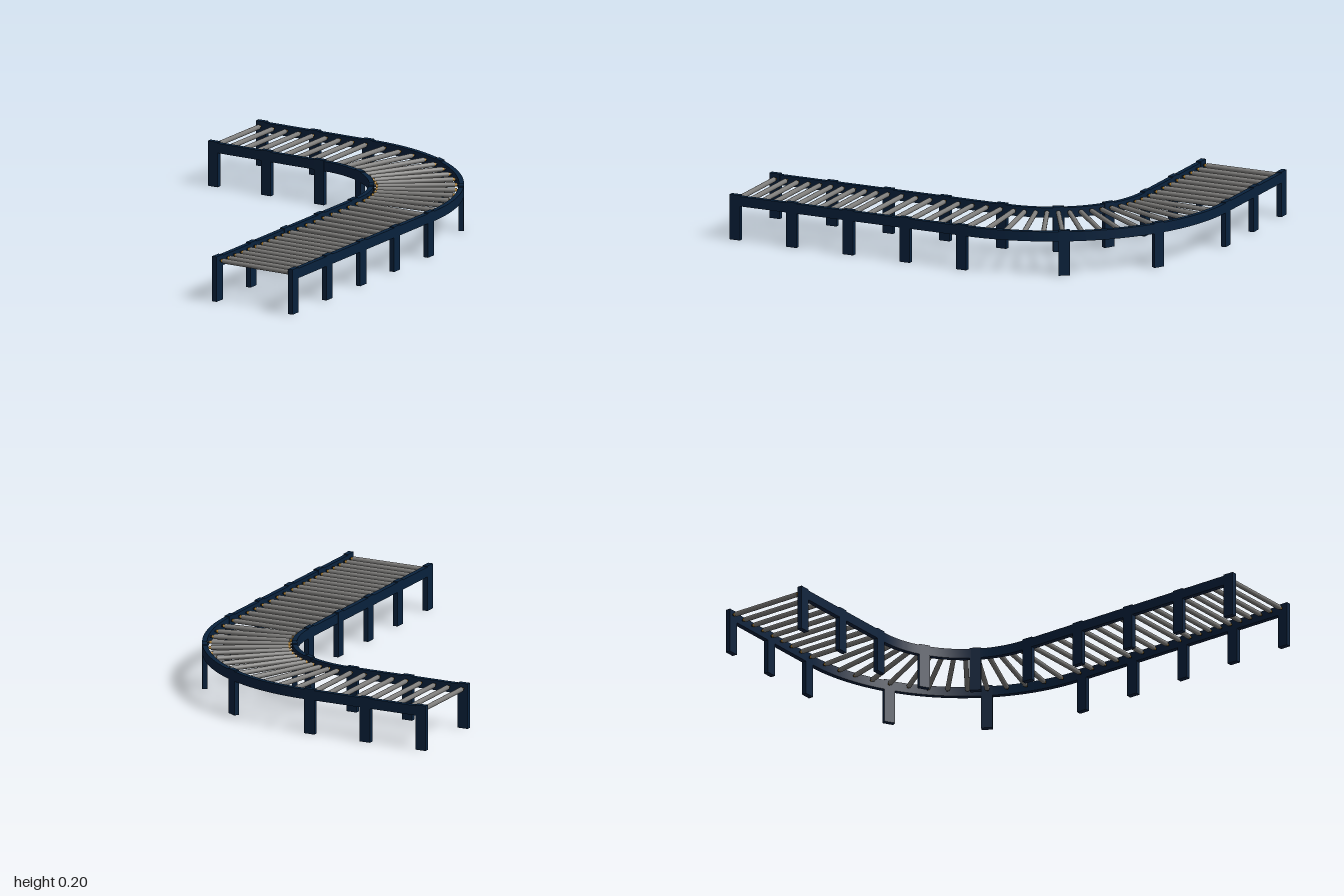
import * as THREE from 'three';
import { toCreasedNormals } from 'three/addons/utils/BufferGeometryUtils.js';

const CX = -0.125, CZ = -0.153;       // centre of the bend
const X_END = -0.722, Z_END = 1;      // open ends of the two straights
const RAIL_TOP = 0.199, RAIL_H = 0.044, RAIL_T = 0.022;
const ROLLER_Y = 0.181;
const R_IN = 0.443, R_OUT = 0.836;    // rail centre radii

export function createModel() {
  const mat = (name, color) => {
    const m = new THREE.MeshStandardMaterial({ color });
    m.name = name;
    return m;
  };
  const navy = mat('navy frame', 0x08213c);
  const steel = mat('roller grey', 0x7e7d7b);
  const dark = mat('dark axle', 0x1c1c1e);
  const brass = mat('brass bearing', 0xb5832a);

  const model = new THREE.Group();
  model.name = 'rollerConveyor';
  const add = (parent, name, geometry, material) => {
    const mesh = new THREE.Mesh(geometry, material);
    mesh.name = name;
    parent.add(mesh);
    return mesh;
  };

  // Side rails: straight, quarter bend, straight, drawn in plan and extruded down
  const rail = (name, radius) => {
    const a = radius - RAIL_T / 2, b = radius + RAIL_T / 2;
    const s = new THREE.Shape();
    s.moveTo(CX + b, Z_END);
    s.lineTo(CX + b, CZ);
    s.absarc(CX, CZ, b, 0, -Math.PI / 2, true);
    s.lineTo(X_END, CZ - b);
    s.lineTo(X_END, CZ - a);
    s.lineTo(CX, CZ - a);
    s.absarc(CX, CZ, a, -Math.PI / 2, 0, false);
    s.lineTo(CX + a, Z_END);
    s.closePath();
    const g = new THREE.ExtrudeGeometry(s, { depth: RAIL_H, bevelEnabled: false, curveSegments: 28 });
    g.rotateX(Math.PI / 2);
    g.translate(0, RAIL_TOP, 0);
    add(model, name, toCreasedNormals(g, 0.5), navy);
  };
  rail('innerRail', R_IN);
  rail('outerRail', R_OUT);

  // Legs: flat uprights as thick as the rails, reaching just above them
  const legGeo = new THREE.BoxGeometry(RAIL_T + 0.001, 0.204, 0.05);
  const leg = (x, z, angle) => {
    const m = add(model, 'leg', legGeo, navy);
    m.position.set(x, 0.102, z);
    m.rotation.y = angle;
  };
  for (const r of [R_IN, R_OUT]) {
    for (let i = 0; i < 5; i++) leg(CX + r, 0.975 - i * 0.276, 0);
    for (let i = 0; i < 3; i++) leg(X_END + 0.025 + i * 0.275, CZ - r, Math.PI / 2);
    for (const t of [Math.PI / 6, Math.PI / 3]) leg(CX + r * Math.cos(t), CZ - r * Math.sin(t), t);
  }

  // Rollers: grey tube, brass end bearings, dark axle between the rails
  const along = (r, len, sides) => new THREE.CylinderGeometry(r, r, len, sides).rotateZ(Math.PI / 2);
  const tubeGeo = along(0.011, 0.338, 14);
  const bearingGeo = along(0.0075, 0.355, 12);
  const axleGeo = along(0.005, R_OUT - R_IN, 8);
  const mid = (R_IN + R_OUT) / 2;
  const roller = (x, z, angle) => {
    const g = new THREE.Group();
    g.name = 'roller';
    add(g, 'tube', tubeGeo, steel);
    add(g, 'bearings', bearingGeo, brass);
    add(g, 'axle', axleGeo, dark);
    g.position.set(x, ROLLER_Y, z);
    g.rotation.y = angle;
    model.add(g);
  };
  // close spacing at the front end, then wider
  for (let i = 0; i < 10; i++) roller(CX + mid, 0.97 - i * 0.0553, 0);
  for (let i = 0; i < 9; i++) roller(CX + mid, 0.417 - i * 0.0688, 0);
  // fanned around the bend
  for (let i = 0; i < 14; i++) {
    const t = THREE.MathUtils.degToRad(5.3 + i * 6.11);
    roller(CX + mid * Math.cos(t), CZ - mid * Math.sin(t), t);
  }
  for (let i = 0; i < 9; i++) roller(-0.699 + i * 0.0688, CZ - mid, Math.PI / 2);

  return model;
}
